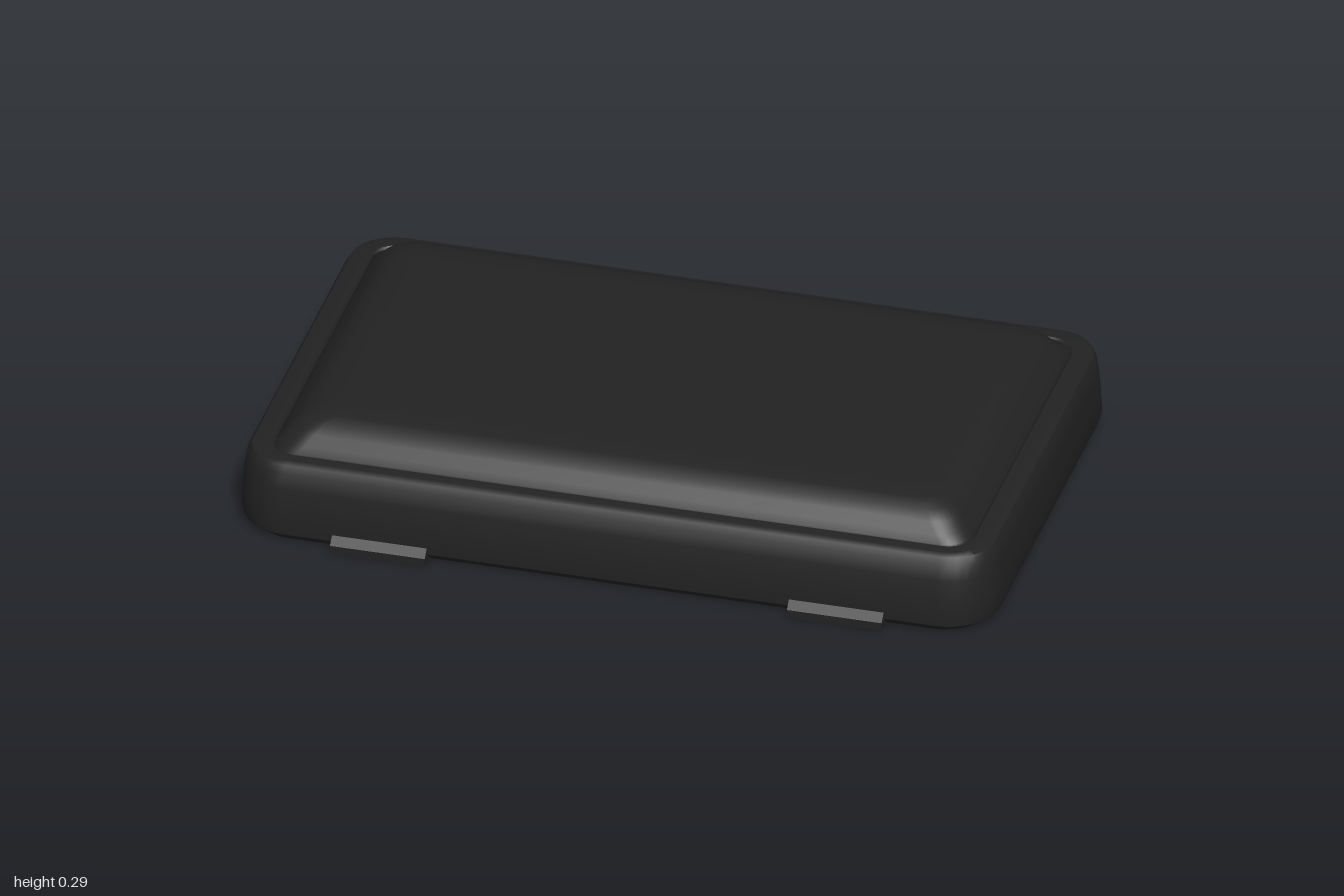
import * as THREE from 'three';
import { toCreasedNormals } from 'three/addons/utils/BufferGeometryUtils.js';

const STEPS = 8; // segments per rounded corner

// Outline of a rounded rectangle at height y, from +x round towards +z
function ring([hx, zBack, zFront, y, r]) {
  const points = [];
  const corners = [[hx - r, zFront - r], [r - hx, zFront - r], [r - hx, zBack + r], [hx - r, zBack + r]];
  corners.forEach(([cx, cz], q) => {
    for (let i = 0; i <= STEPS; i++) {
      const a = (q + i / STEPS) * Math.PI / 2;
      points.push([cx + r * Math.cos(a), y, cz + r * Math.sin(a)]);
    }
  });
  return points;
}

// Skin between successive outlines, closed at both ends with a flat cap
function loft(sections) {
  const n = (STEPS + 1) * 4;
  const points = sections.flatMap(ring);
  const first = sections[0], last = sections[sections.length - 1];
  const start = points.push([0, first[3], (first[1] + first[2]) / 2]) - 1;
  const end = points.push([0, last[3], (last[1] + last[2]) / 2]) - 1;
  const index = [];
  for (let j = 0; j < n; j++) {
    const k = (j + 1) % n;
    index.push(start, k, j);
    for (let i = 0; i < sections.length - 1; i++) {
      const a = i * n + j, b = i * n + k;
      index.push(a, b, b + n, a, b + n, a + n);
    }
    const base = (sections.length - 1) * n;
    index.push(base + j, base + k, end);
  }
  const geometry = new THREE.BufferGeometry();
  geometry.setAttribute('position', new THREE.Float32BufferAttribute(points.flat(), 3));
  geometry.setIndex(index);
  return toCreasedNormals(geometry, 0.65);
}

export function createModel() {
  const model = new THREE.Group();
  model.name = 'lid';
  const plastic = new THREE.MeshStandardMaterial({ color: 0x222222 });
  plastic.name = 'black plastic';

  // Hollow shell: half width, back z, front z, height, corner radius
  const shell = new THREE.Mesh(loft([
    // raised panel
    [0.77, -0.41, 0.37, 0.292, 0.05],
    [0.82, -0.45, 0.42, 0.288, 0.06],
    [0.855, -0.485, 0.455, 0.276, 0.065],
    [0.88, -0.505, 0.478, 0.256, 0.07],
    [0.90, -0.525, 0.497, 0.23, 0.07],
    [0.918, -0.542, 0.513, 0.214, 0.07],
    // seam around the panel
    [0.92, -0.545, 0.515, 0.207, 0.07],
    [0.926, -0.551, 0.521, 0.215, 0.07],
    // shoulder and outer wall
    [0.96, -0.585, 0.55, 0.215, 0.1],
    [0.978, -0.6, 0.566, 0.209, 0.115],
    [0.988, -0.607, 0.578, 0.192, 0.125],
    [0.994, -0.612, 0.588, 0.15, 0.13],
    [0.998, -0.617, 0.595, 0.1, 0.135],
    [1.0, -0.62, 0.599, 0.045, 0.135],
    [0.995, -0.615, 0.597, 0.022, 0.135],
    [0.968, -0.588, 0.575, 0, 0.12],
    // inner wall
    [0.958, -0.578, 0.565, 0, 0.11],
    [0.955, -0.575, 0.555, 0.17, 0.11],
    [0.945, -0.565, 0.545, 0.19, 0.1],
    // inner ledge and ceiling
    [0.9, -0.525, 0.495, 0.19, 0.06],
    [0.878, -0.502, 0.475, 0.225, 0.06],
    [0.85, -0.475, 0.45, 0.255, 0.055],
    [0.8, -0.43, 0.4, 0.27, 0.05],
    [0.76, -0.4, 0.36, 0.272, 0.05],
  ]), plastic);
  shell.name = 'shell';
  model.add(shell);

  // Two small wedge tabs along the front lower edge
  const profile = new THREE.Shape([[0.565, 0], [0.62, 0], [0.62, 0.022], [0.6, 0.042], [0.565, 0.042]]
    .map(([z, y]) => new THREE.Vector2(-z, y)));
  const tabGeometry = new THREE.ExtrudeGeometry(profile, { depth: 0.25, bevelEnabled: false });
  tabGeometry.translate(0, 0, -0.125).rotateY(Math.PI / 2);
  for (const [name, x] of [['leftTab', 0.6], ['rightTab', -0.605]]) {
    const tab = new THREE.Mesh(tabGeometry, plastic);
    tab.name = name;
    tab.position.x = x;
    model.add(tab);
  }
  return model;
}
